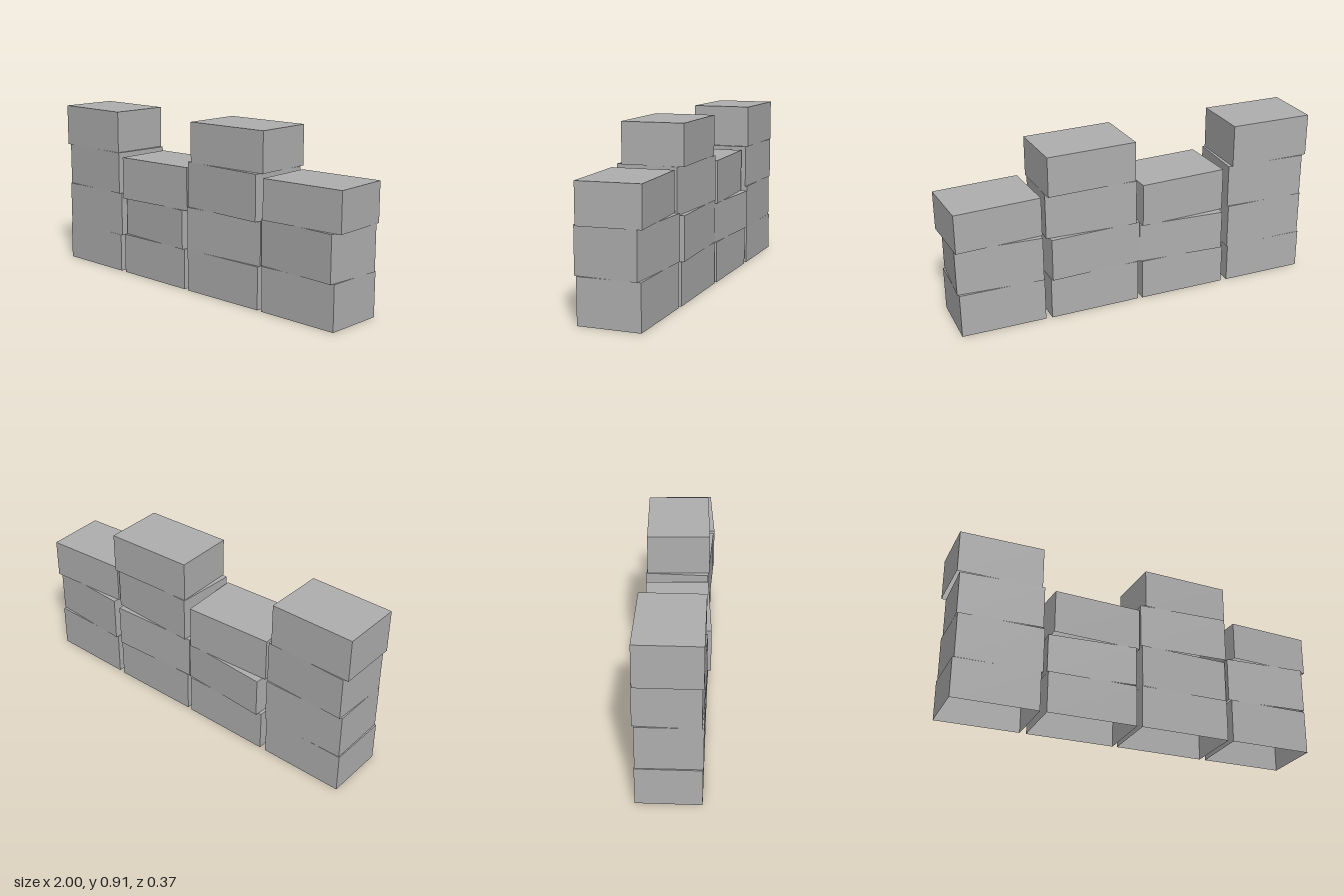
import * as THREE from 'three';

// Box with an open underside, standing on y = 0
function openBox(w, h, d) {
  const g = new THREE.BoxGeometry(w, h, d).toNonIndexed();
  // faces run +x, -x, +y, -y, +z, -z with six vertices each: drop -y
  for (const key of ['position', 'normal', 'uv']) {
    const a = g.attributes[key];
    const n = a.itemSize * 6;
    const kept = [...a.array.slice(0, 3 * n), ...a.array.slice(4 * n)];
    g.setAttribute(key, new THREE.Float32BufferAttribute(kept, a.itemSize));
  }
  g.clearGroups();
  return g.translate(0, h / 2, 0);
}

export function createModel() {
  const model = new THREE.Group();
  model.name = 'stackedBlockWall';
  const stone = new THREE.MeshStandardMaterial({ color: 0xb0b0b0, side: THREE.DoubleSide });
  stone.name = 'stone grey';

  // Each block: bottom y, top y, left x, right x, centre z, yaw
  const columns = [
    [
      [0, 0.21, -0.99, -0.54, 0, 0],
      [0.21, 0.45, -0.985, -0.53, 0, 0.01],
      [0.45, 0.68, -0.985, -0.53, 0, -0.03],
      [0.68, 0.907, -1, -0.55, 0, 0],
    ],
    [
      [0, 0.22, -0.505, -0.025, 0, 0],
      [0.22, 0.432, -0.505, -0.012, -0.005, -0.06],
      [0.432, 0.663, -0.505, -0.008, 0.01, 0.055],
    ],
    [
      [0, 0.225, 0, 0.495, 0, 0.01],
      [0.225, 0.455, -0.01, 0.5, -0.005, 0.045],
      [0.455, 0.695, 0, 0.505, 0.005, -0.04],
      [0.695, 0.907, 0.015, 0.51, -0.008, 0.04],
    ],
    [
      [0, 0.235, 0.525, 0.975, 0, 0],
      [0.235, 0.475, 0.513, 0.982, 0.003, -0.055],
      [0.475, 0.683, 0.523, 1, 0.005, 0.065],
    ],
  ];
  const depth = 0.325;

  columns.forEach((blocks, c) => {
    const column = new THREE.Group();
    column.name = `column${c + 1}`;
    blocks.forEach(([y0, y1, x0, x1, z, yaw], i) => {
      // width that gives the wanted span once the block is turned
      const width = (x1 - x0 - depth * Math.abs(Math.sin(yaw))) / Math.cos(yaw);
      const block = new THREE.Mesh(openBox(width, y1 - y0, depth), stone);
      block.name = `block${i + 1}`;
      block.position.set((x0 + x1) / 2, y0, z);
      block.rotation.y = yaw;
      column.add(block);
    });
    model.add(column);
  });
  return model;
}
